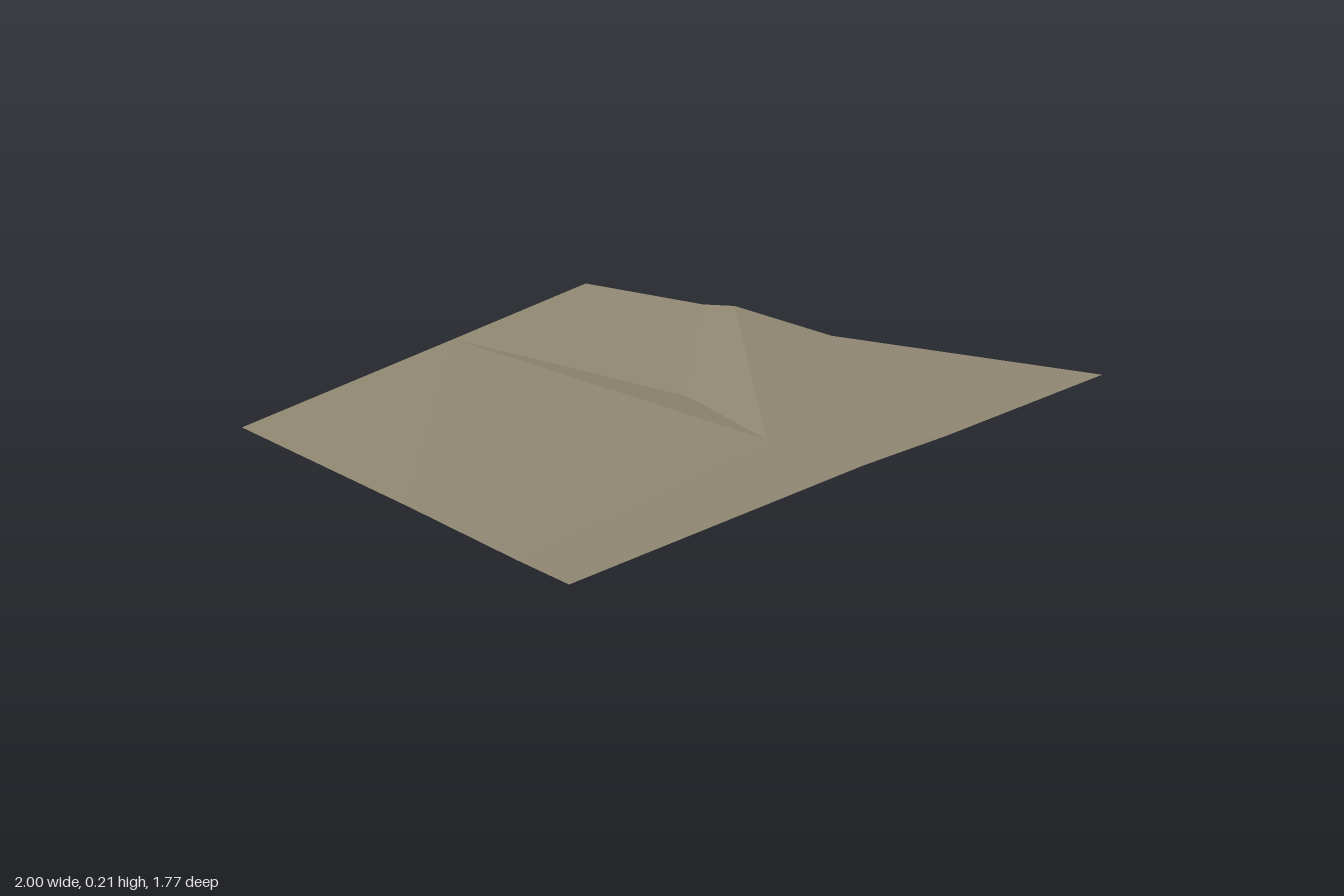
import * as THREE from 'three';

// Corner, edge and crease points of the ground patch
const P = {
  backLeft: [-0.88, 0.055, -0.81],
  backMid: [-0.03, 0.022, -0.857],
  backRight: [0.61, 0, -0.89],
  sideUpper: [0.71, 0.023, -0.44],
  sideRidge: [0.73, 0.047, -0.32],
  sideValley: [0.81, 0.018, 0.02],
  frontRight: [1, 0.095, 0.88],
  frontBend: [0.3, 0.137, 0.793],
  frontMid: [-0.03, 0.165, 0.751],
  frontLeft: [-1, 0.212, 0.63],
  leftFront: [-0.983, 0.188, 0.43],
  leftMid: [-0.947, 0.145, 0],
  peak: [-0.03, 0.125, 0.43],
  hollow: [0.13, 0.05, 0],
};

// Fan of flat triangles, corners anticlockwise seen from above
function facet(name, material, ...corners) {
  const pts = [];
  for (let i = 1; i < corners.length - 1; i++) {
    pts.push(...P[corners[0]], ...P[corners[i]], ...P[corners[i + 1]]);
  }
  const geometry = new THREE.BufferGeometry();
  geometry.setAttribute('position', new THREE.Float32BufferAttribute(pts, 3));
  geometry.computeVertexNormals();
  const mesh = new THREE.Mesh(geometry, material);
  mesh.name = name;
  return mesh;
}

export function createModel() {
  const earth = new THREE.MeshStandardMaterial({ color: 0x958c76, side: THREE.DoubleSide, flatShading: true });
  earth.name = 'dry earth';

  const group = new THREE.Group();
  group.name = 'groundPatch';
  group.add(
    // Broad slope on the -x side
    facet('frontLeftSlope', earth, 'peak', 'frontMid', 'frontLeft', 'leftFront'),
    facet('leftSlope', earth, 'peak', 'leftFront', 'leftMid'),
    facet('middleSlope', earth, 'peak', 'leftMid', 'backMid'),
    facet('backLeftSlope', earth, 'leftMid', 'backLeft', 'backMid'),
    // Drop into the hollow and the flat behind it
    facet('hollowBank', earth, 'peak', 'backMid', 'hollow'),
    facet('backFlat', earth, 'hollow', 'backMid', 'backRight', 'sideUpper'),
    // Ridge running out to the +x edge
    facet('ridgeBack', earth, 'peak', 'hollow', 'sideUpper', 'sideRidge'),
    facet('ridgeFront', earth, 'peak', 'sideRidge', 'sideValley'),
    // Front right slope
    facet('frontRightSlope', earth, 'peak', 'sideValley', 'frontRight', 'frontBend', 'frontMid'),
  );
  return group;
}
